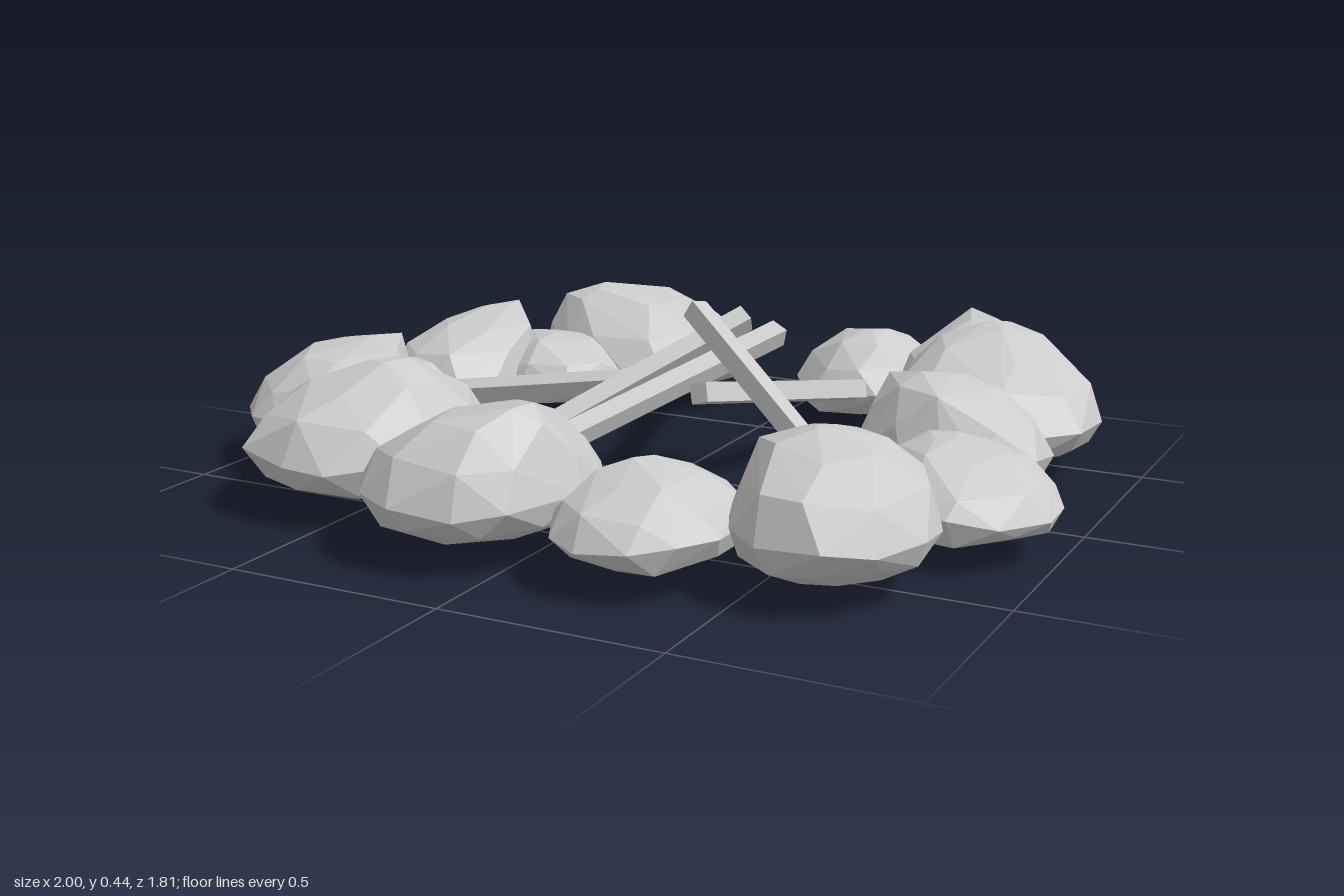
import * as THREE from 'three';
import { ConvexGeometry } from 'three/addons/geometries/ConvexGeometry.js';

const material = new THREE.MeshStandardMaterial({ color: 0xcccccc, flatShading: true });

function seeded(seed) {
  let s = seed * 7919 + 17;
  return () => (s = (s * 16807) % 2147483647) / 2147483647;
}

// Faceted boulder: flat belly, wide low rim, crown pulled towards its own peak,
// plus optional sharp corners.
function boulder([x0, x1, z0, z1, top, peakX, peakZ, ...corners], index) {
  const rand = seeded(index + 1);
  const cx = (x0 + x1) / 2, cz = (z0 + z1) / 2;
  const rx = (x1 - x0) / 2, rz = (z1 - z0) / 2;
  const base = 0.05, h = top - base;
  // [height fraction, radius fraction, sides, pull towards the peak]
  const rings = [
    [0, 0.64, 9, 0], [0.12, 0.88, 11, 0], [0.33, 1.0, 12, 0],
    [0.62, 0.84, 9, 0.12], [0.86, 0.52, 6, 0.45], [0.98, 0.16, 4, 0.95],
  ];
  const points = corners.map((c) => new THREE.Vector3(...c));
  for (const [t, r, sides, pull] of rings) {
    const turn = rand() * Math.PI;
    for (let i = 0; i < sides; i++) {
      const a = turn + ((i + (rand() - 0.5) * 0.4) / sides) * Math.PI * 2;
      const k = r * (1.01 + rand() * 0.06);
      const px = cx + (peakX - cx) * pull + Math.cos(a) * rx * k;
      const pz = cz + (peakZ - cz) * pull + Math.sin(a) * rz * k;
      const jitter = t === 0 ? rand() * 0.01 : (rand() - 0.5) * 0.025;
      points.push(new THREE.Vector3(
        THREE.MathUtils.clamp(px, x0, x1),
        Math.min(base + t * h + jitter, top),
        THREE.MathUtils.clamp(pz, z0, z1)));
    }
  }
  const mesh = new THREE.Mesh(new ConvexGeometry(points), material);
  mesh.name = 'stone' + (index + 1);
  return mesh;
}

// Square stick running between two points, rolled about its length.
function stick([from, to, roll], index) {
  const a = new THREE.Vector3(...from), b = new THREE.Vector3(...to);
  const mesh = new THREE.Mesh(new THREE.BoxGeometry(0.045, 0.045, a.distanceTo(b)), material);
  mesh.position.copy(a).add(b).multiplyScalar(0.5);
  mesh.lookAt(b);
  mesh.rotateZ(roll);
  mesh.name = 'stick' + (index + 1);
  return mesh;
}

export function createModel() {
  const model = new THREE.Group();
  model.name = 'campfire';

  // Ring of stones: x range, z range, top, peak x, peak z, sharp corners
  const stones = new THREE.Group();
  stones.name = 'stoneRing';
  [
    [-0.69, -0.12, -0.89, -0.38, 0.32, -0.50, -0.54, [-0.57, 0.30, -0.49]],
    [-0.73, -0.34, -0.57, -0.19, 0.23, -0.52, -0.38],
    [-0.92, -0.55, -0.46, -0.04, 0.29, -0.68, -0.34, [-0.57, 0.25, -0.30], [-0.69, 0.28, -0.44]],
    [-0.97, -0.54, -0.10, 0.30, 0.22, -0.75, 0.08],
    [-1.00, -0.58, 0.05, 0.46, 0.30, -0.76, 0.18, [-0.71, 0.29, 0.08], [-0.64, 0.28, 0.20]],
    [-0.80, -0.27, 0.18, 0.75, 0.33, -0.48, 0.45],
    [-0.38, 0.12, 0.35, 0.90, 0.33, -0.02, 0.66, [0.03, 0.31, 0.65]],
    [0.08, 0.47, 0.40, 0.86, 0.24, 0.27, 0.62],
    [0.43, 0.85, 0.29, 0.77, 0.33, 0.61, 0.50, [0.46, 0.28, 0.51]],
    [0.57, 1.00, 0.00, 0.40, 0.24, 0.74, 0.18],
    [0.45, 0.89, -0.27, 0.09, 0.30, 0.62, -0.08, [0.48, 0.27, -0.17], [0.67, 0.28, 0.04], [0.67, 0.29, -0.15]],
    [0.39, 0.91, -0.67, -0.16, 0.33, 0.62, -0.52, [0.63, 0.32, -0.6]],
    [0.34, 0.75, -0.84, -0.45, 0.30, 0.53, -0.70, [0.46, 0.3, -0.81]],
    [0.06, 0.42, -0.91, -0.45, 0.25, 0.25, -0.67],
  ].forEach((spec, i) => stones.add(boulder(spec, i)));

  // Sticks leaning from the ring to the middle: lower end, upper end, roll
  const sticks = new THREE.Group();
  sticks.name = 'sticks';
  [
    [[-0.20, 0.16, -0.58], [0.07, 0.27, 0.02], 0.5],
    [[-0.60, 0.14, 0.03], [0.09, 0.25, 0.00], 0.4],
    [[-0.31, 0.07, 0.44], [0.15, 0.38, -0.09], 0.6],
    [[-0.01, 0.21, 0.46], [0.21, 0.34, -0.14], 0.4],
    [[0.29, 0.13, -0.50], [0.16, 0.26, 0.18], 0.3],
    [[0.67, 0.02, 0.31], [0.06, 0.41, 0.00], 0.2],
  ].forEach((spec, i) => sticks.add(stick(spec, i)));

  model.add(stones, sticks);
  return model;
}
